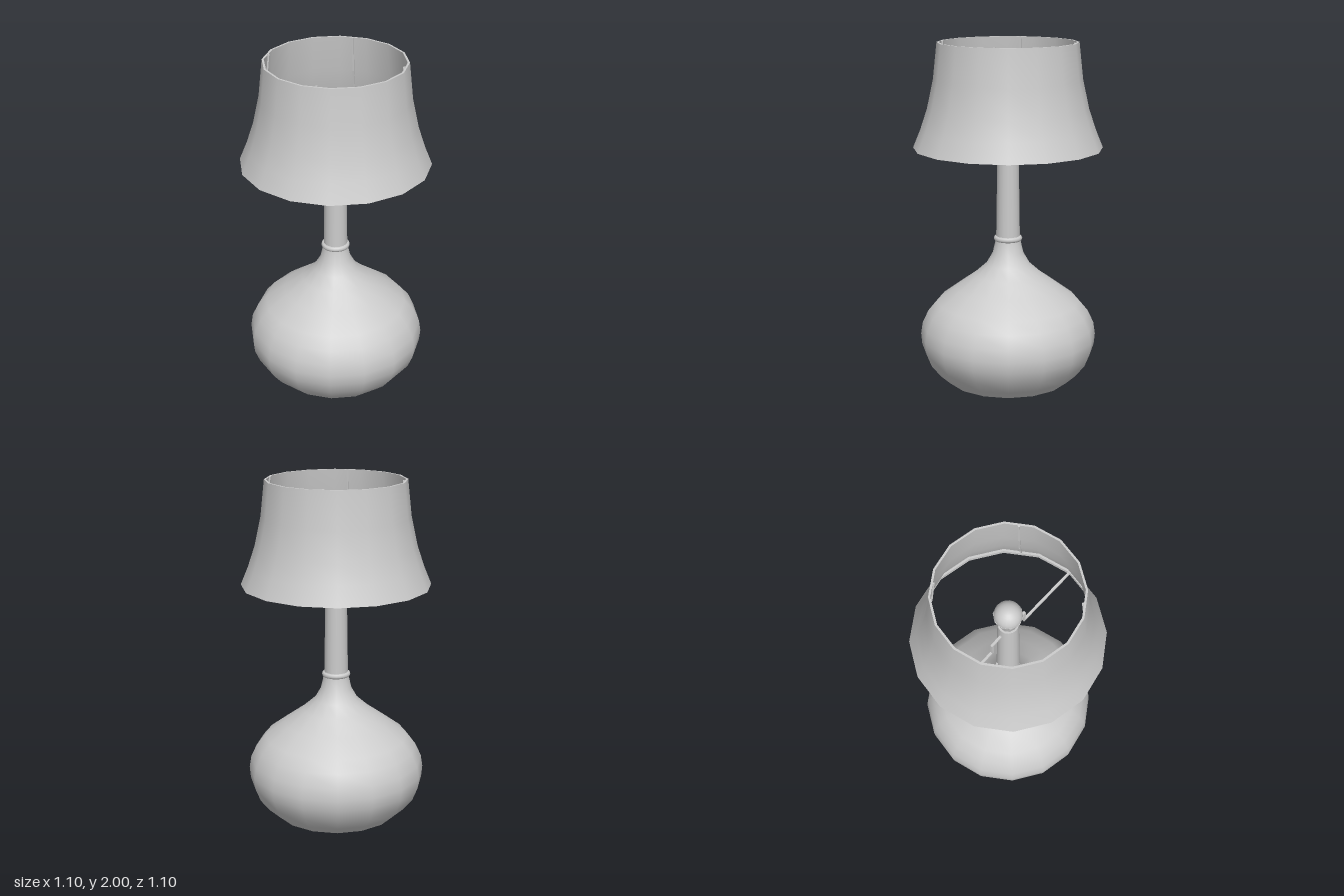
import * as THREE from 'three';

const SIDES = 16;
const grey = new THREE.MeshStandardMaterial({ color: 0xcccccc });

function add(parent, name, geometry) {
  const mesh = new THREE.Mesh(geometry, grey);
  mesh.name = name;
  parent.add(mesh);
  return mesh;
}

// Turned surface; profiles run upwards for outward-facing sides
function turn(parent, name, profile, sides = SIDES) {
  const points = profile.map(([r, y]) => new THREE.Vector2(r, y));
  return add(parent, name, new THREE.LatheGeometry(points, sides));
}

// Closed band whose profile segments each keep sharp edges
function hoop(parent, name, corners) {
  corners.forEach((c, i) => turn(parent, name, [c, corners[(i + 1) % corners.length]]));
}

// Square rod between two points
function rod(parent, name, a, b, size) {
  const from = new THREE.Vector3(...a), to = new THREE.Vector3(...b);
  const mesh = add(parent, name, new THREE.BoxGeometry(size, size, from.distanceTo(to) + size * 0.5));
  mesh.position.copy(from).add(to).multiplyScalar(0.5);
  mesh.lookAt(to);
}

export function createModel() {
  const lamp = new THREE.Group();
  lamp.name = 'tableLamp';

  // Bulbous base with flat underside
  turn(lamp, 'baseBottom', [[0, 0], [0.37, 0]]);
  turn(lamp, 'baseBody', [
    [0.37, 0], [0.43, 0.055], [0.485, 0.125], [0.515, 0.2], [0.521, 0.265], [0.51, 0.335],
    [0.475, 0.41], [0.42, 0.475], [0.31, 0.557], [0.2, 0.637], [0.13, 0.7],
    [0.09, 0.77], [0.075, 0.835], [0.07, 0.86],
  ]);

  // Collar and tapered stem
  const collar = add(lamp, 'collar', new THREE.TorusGeometry(0.068, 0.016, 8, 24));
  collar.rotation.x = Math.PI / 2;
  collar.position.y = 0.855;
  turn(lamp, 'stem', [[0.07, 0.85], [0.066, 1.1], [0.062, 1.4], [0.058, 1.59]]);
  turn(lamp, 'stemTop', [[0.058, 1.59], [0, 1.59]]);

  // Flared socket and bulb
  turn(lamp, 'socket', [[0.046, 1.58], [0.056, 1.63], [0.082, 1.71]], 10);
  turn(lamp, 'socketTop', [[0.082, 1.71], [0, 1.71]], 10);
  const bulb = add(lamp, 'bulb', new THREE.SphereGeometry(0.078, 20, 14));
  bulb.position.y = 1.715;

  // Shade: outer skin, inner skin and both rims
  const shade = new THREE.Group();
  shade.name = 'shade';
  lamp.add(shade);
  const wall = 0.012;
  const outer = [[0.548, 1.395], [0.505, 1.5], [0.465, 1.62], [0.428, 1.79], [0.405, 2]];
  const inner = outer.map(([r, y]) => [r - wall, y]).reverse();
  turn(shade, 'shadeOuter', outer);
  turn(shade, 'shadeInner', inner);
  turn(shade, 'shadeTopRim', [outer[4], inner[0]]);
  turn(shade, 'shadeBottomRim', [inner[4], outer[0]]);

  // Wire frame inside the shade
  const frame = new THREE.Group();
  frame.name = 'shadeFrame';
  lamp.add(frame);
  hoop(frame, 'lowerHoop', [[0.537, 1.397], [0.53, 1.42], [0.512, 1.42], [0.512, 1.397]]);

  // Four upright ribs following the shade's inner wall
  for (let k = 0; k < 4; k++) {
    const angle = THREE.MathUtils.degToRad(56.25 + 90 * k);
    const path = inner.map(([r, y]) => {
      const d = r * Math.cos(Math.PI / SIDES) - 0.004;
      return [d * Math.cos(angle), y, d * Math.sin(angle)];
    });
    for (let i = 0; i < 4; i++) rod(frame, 'rib', path[i + 1], path[i], 0.01);
  }

  // Stepped arms joining the hoop to the stem
  for (const s of [-1, 1]) {
    const path = [[0.525, 1.41], [0.13, 1.41], [0.13, 1.51], [0.045, 1.51]];
    for (let i = 0; i < 3; i++) {
      const [a, b] = [path[i], path[i + 1]];
      rod(frame, 'arm', [s * a[0], a[1], 0], [s * b[0], b[1], 0], 0.014);
    }
  }
  return lamp;
}
